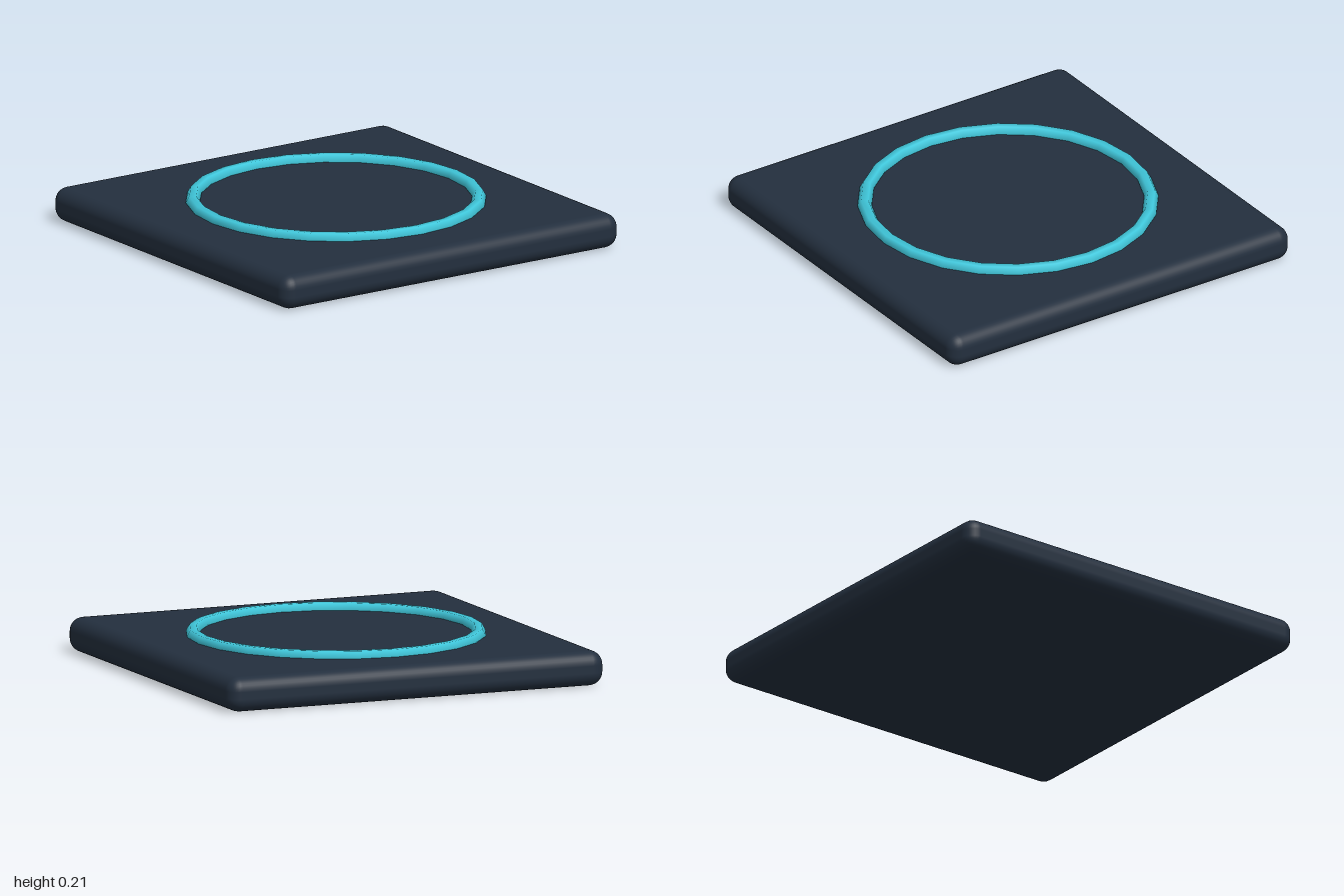
import * as THREE from 'three';
import { RoundedBoxGeometry } from 'three/addons/geometries/RoundedBoxGeometry.js';

export function createModel() {
  const group = new THREE.Group();
  const slate = new THREE.MeshStandardMaterial({ color: 0x232f3e });
  slate.name = 'dark slate';
  const cyan = new THREE.MeshStandardMaterial({ color: 0x40c8dc });
  cyan.name = 'cyan';

  // Square slab with softly rounded edges
  const base = new THREE.Mesh(new RoundedBoxGeometry(2, 0.172, 2, 4, 0.068), slate);
  base.name = 'base';
  base.position.y = 0.086;
  group.add(base);

  // Ring with a six-sided tube, half sunk into the slab
  const ring = new THREE.Mesh(new THREE.TorusGeometry(0.7, 0.035, 6, 24), cyan);
  ring.name = 'ring';
  ring.rotation.x = -Math.PI / 2;
  ring.position.y = 0.177;
  group.add(ring);

  return group;
}
